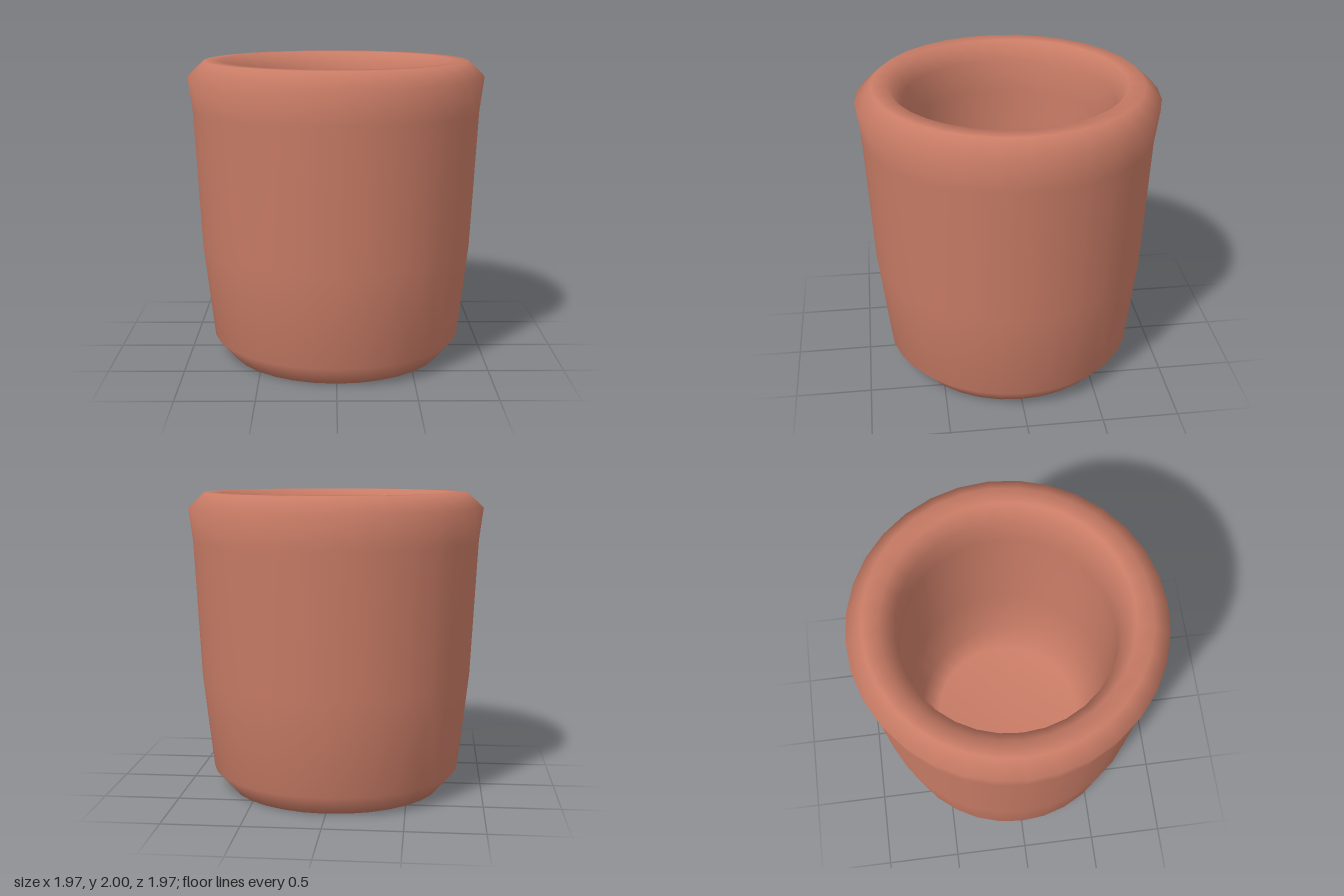
import * as THREE from 'three';

export function createModel() {
  const group = new THREE.Group();
  group.name = 'cup';
  const clay = new THREE.MeshStandardMaterial({ color: 0xc97c66 });

  // One closed profile: base, outer wall, rolled rim, inner wall, floor
  const profile = [
    [0, 0], [0.72, 0], [0.84, 0.14], [0.91, 0.77], [0.955, 1.68],
    [0.983, 1.9], [0.875, 2], [0.77, 2], [0.69, 1.88],
    [0.69, 1.65], [0.68, 0.8], [0.64, 0.3], [0.52, 0.18], [0, 0.18],
  ].map(([r, y]) => new THREE.Vector2(r, y));

  const body = new THREE.Mesh(new THREE.LatheGeometry(profile, 32), clay);
  body.name = 'cupBody';
  group.add(body);
  return group;
}
